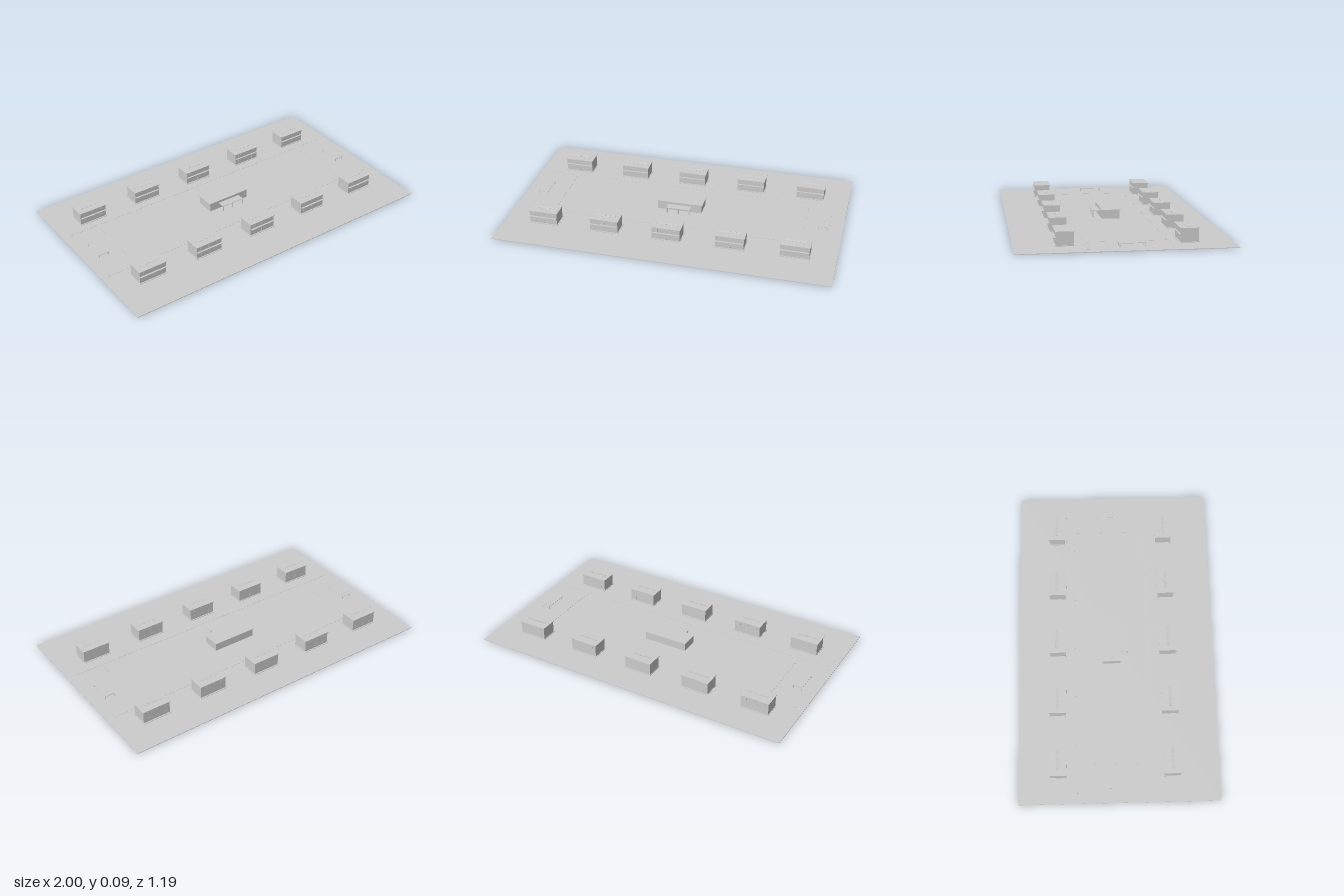
import * as THREE from 'three';

const paleGrey = new THREE.MeshStandardMaterial({ color: 0xcccccc });
paleGrey.name = 'paleGrey';

// Box given by its size, centre x and z, and the height of its underside
function block(parent, name, w, h, d, x, y, z) {
  const mesh = new THREE.Mesh(new THREE.BoxGeometry(w, h, d), paleGrey);
  mesh.name = name;
  mesh.position.set(x, y + h / 2, z);
  parent.add(mesh);
  return mesh;
}

// Two-storey house with a front balcony, windows and roof panels
function house(x, z) {
  const g = new THREE.Group();
  g.name = 'house';
  g.position.set(x, 0, z);
  block(g, 'plinth', 0.178, 0.006, 0.112, 0, 0, 0);
  block(g, 'walls', 0.17, 0.08, 0.096, 0, 0, 0);
  block(g, 'roof', 0.178, 0.003, 0.106, 0, 0.08, 0);
  block(g, 'balcony', 0.168, 0.002, 0.012, 0, 0.047, 0.053);
  block(g, 'frontDoor', 0.014, 0.03, 0.002, 0, 0.006, 0.048);
  for (const y of [0.018, 0.056]) {
    for (const wx of [-0.055, 0, 0.055]) {
      block(g, 'backWindow', 0.014, 0.014, 0.002, wx, y, -0.048);
      if (wx || y > 0.05) block(g, 'frontWindow', 0.016, 0.014, 0.002, wx, y, 0.048);
    }
  }
  for (let i = 0; i < 4; i++) {
    const panel = block(g, 'solarPanel', 0.026, 0.001, 0.018, -0.048 + i * 0.032, 0.085, 0);
    panel.rotation.x = 0.15;
  }
  return g;
}

// Flat roof on four thin posts
function shelter(x, z, w, d, h) {
  const g = new THREE.Group();
  g.name = 'shelter';
  g.position.set(x, 0, z);
  block(g, 'shelterRoof', w, 0.002, d, 0, h - 0.002, 0);
  for (const sx of [-1, 1]) for (const sz of [-1, 1]) {
    block(g, 'post', 0.003, h - 0.002, 0.003, sx * (w / 2 - 0.005), 0, sz * (d / 2 - 0.005));
  }
  return g;
}

export function createModel() {
  const model = new THREE.Group();
  model.name = 'housingEstate';
  block(model, 'ground', 2, 0.003, 1.19, 0, 0.0005, 0);

  // Two rows of five houses
  for (const z of [-0.36, 0.316]) {
    for (let i = -2; i <= 2; i++) model.add(house(i * 0.38, z));
  }

  // Community hall with its entrance canopy
  const hall = new THREE.Group();
  hall.name = 'communityHall';
  block(hall, 'hallWalls', 0.275, 0.055, 0.11, 0, 0, -0.032);
  block(hall, 'hallRoof', 0.285, 0.003, 0.118, 0, 0.055, -0.035);
  block(hall, 'canopy', 0.147, 0.002, 0.046, 0, 0.04, 0.046);
  for (const x of [-0.07, 0, 0.07]) block(hall, 'canopyPost', 0.004, 0.04, 0.004, x, 0, 0.066);
  block(hall, 'hallDoor', 0.04, 0.03, 0.002, 0, 0.003, 0.023);
  model.add(hall);

  // Open shelters at both ends
  for (const s of [-1, 1]) model.add(shelter(s * 0.885, -0.035, 0.064, 0.144, 0.026));

  // Footpaths
  for (const z of [-0.26, 0.2]) block(model, 'longPath', 1.9, 0.0015, 0.02, 0, 0.003, z);
  for (const x of [-0.76, 0.76]) block(model, 'crossPath', 0.02, 0.0015, 0.46, x, 0.003, -0.03);

  // Stand the model on y = 0
  const box = new THREE.Box3().setFromObject(model);
  model.position.y = -box.min.y;
  return model;
}
